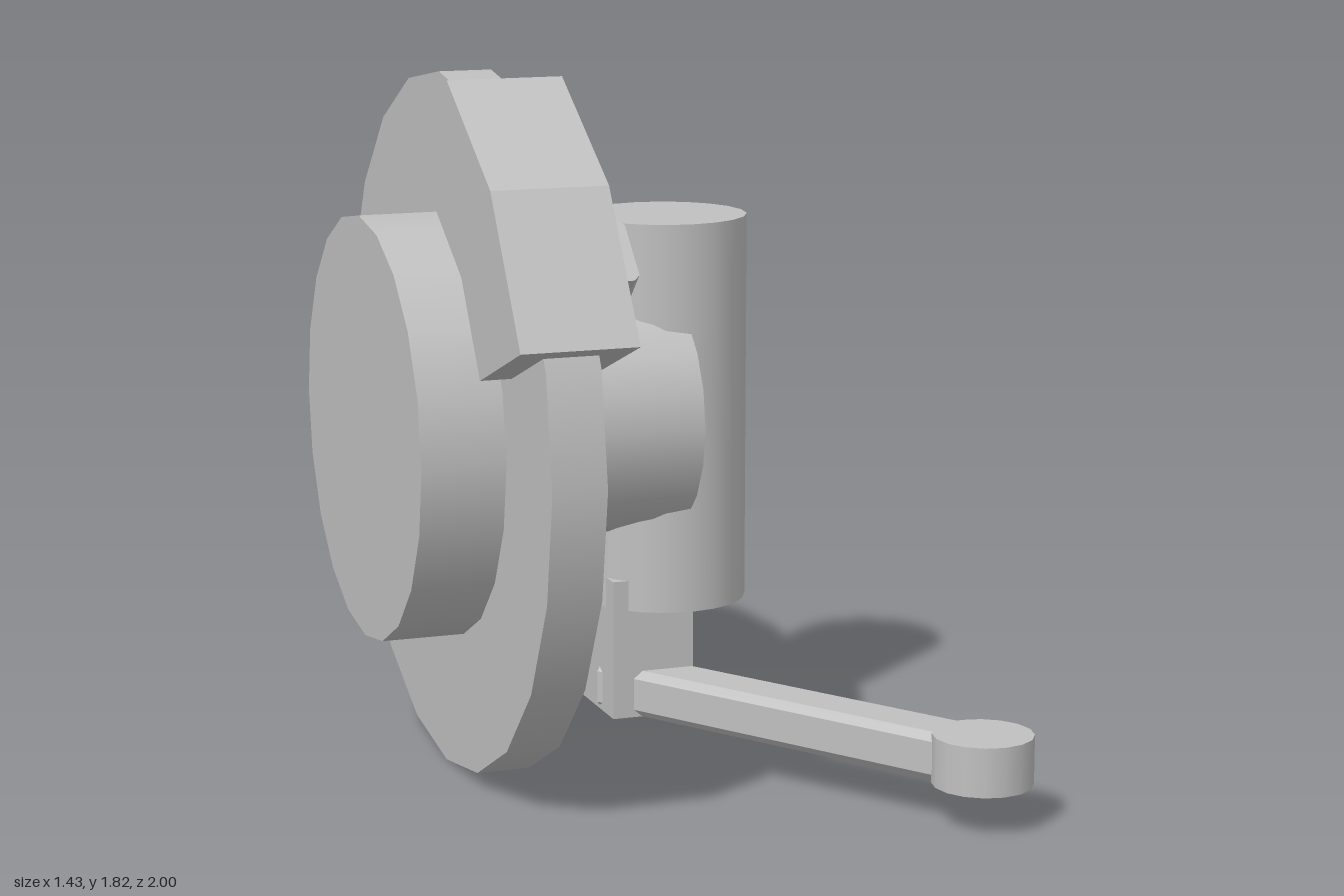
import * as THREE from 'three';

const AXIS_Y = 0.906, AXIS_Z = -0.097;

export function createModel() {
  const model = new THREE.Group();
  model.name = 'discBrakeHub';
  const metal = new THREE.MeshStandardMaterial({ color: 0xc0c0c0 });
  metal.name = 'light grey metal';

  function add(name, geometry) {
    const mesh = new THREE.Mesh(geometry, metal);
    mesh.name = name;
    model.add(mesh);
    return mesh;
  }

  // Cylinder along x on the wheel axis, from x0 (radius r0) to x1 (radius r1)
  function axial(name, x0, x1, r0, r1 = r0) {
    const g = new THREE.CylinderGeometry(r1, r0, x1 - x0, 20);
    g.rotateZ(-Math.PI / 2);
    add(name, g).position.set((x0 + x1) / 2, AXIS_Y, AXIS_Z);
  }

  // Bar with chamfered long edges, running along +z from its origin
  function chamferedBar(width, height, length, c) {
    const w = width / 2, h = height / 2;
    const points = [
      [w - c, -h], [w, -h + c], [w, h - c], [w - c, h],
      [-w + c, h], [-w, h - c], [-w, -h + c], [-w + c, -h],
    ].map(([x, y]) => new THREE.Vector2(x, y));
    return new THREE.ExtrudeGeometry(new THREE.Shape(points), { depth: length, bevelEnabled: false });
  }

  // Stepped hub, brake disc and axle
  axial('hub', -0.72, -0.367, 0.548);
  axial('hubChamfer', -0.367, -0.307, 0.548, 0.523);
  axial('brakeDisc', -0.505, -0.367, 0.905);
  axial('hubStep', -0.307, -0.232, 0.4);
  axial('axle', -0.232, 0.1, 0.316);

  // Caliper: two-segment arc block straddling the disc
  const arc = (r) => [20.4, 45, 69.6].map((deg) => {
    const a = THREE.MathUtils.degToRad(deg);
    return new THREE.Vector2(-r * Math.cos(a), r * Math.sin(a));
  });
  const caliperShape = new THREE.Shape([...arc(0.98), ...arc(0.635).reverse()]);
  const caliper = new THREE.ExtrudeGeometry(caliperShape, { depth: 0.295, bevelEnabled: false });
  caliper.rotateY(Math.PI / 2);
  add('caliper', caliper).position.set(-0.585, AXIS_Y, AXIS_Z);

  // Sensor tab pointing outwards at 45 degrees
  const tab = chamferedBar(0.078, 0.184, 0.403, 0.016);
  tab.translate(0, 0, 0.31);
  tab.rotateX(-Math.PI / 4);
  add('sensorTab', tab).position.set(-0.204, AXIS_Y, AXIS_Z);

  // Upright column
  add('column', new THREE.CylinderGeometry(0.217, 0.217, 1.02, 20)).position.set(0.102, 0.91, -0.102);

  // Mounting block below the column
  add('armBlock', new THREE.BoxGeometry(0.222, 0.37, 0.285)).position.set(0.02, 0.295, -0.093);

  // Steering arm with round end
  const start = new THREE.Vector2(-0.034, -0.096), end = new THREE.Vector2(0.587, 0.873);
  const arm = chamferedBar(0.157, 0.124, start.distanceTo(end), 0.02);
  arm.rotateY(Math.atan2(end.x - start.x, end.y - start.y));
  add('steeringArm', arm).position.set(start.x, 0.172, start.y);
  add('armEnd', new THREE.CylinderGeometry(0.127, 0.127, 0.126, 16)).position.set(end.x, 0.172, end.y);

  return model;
}
